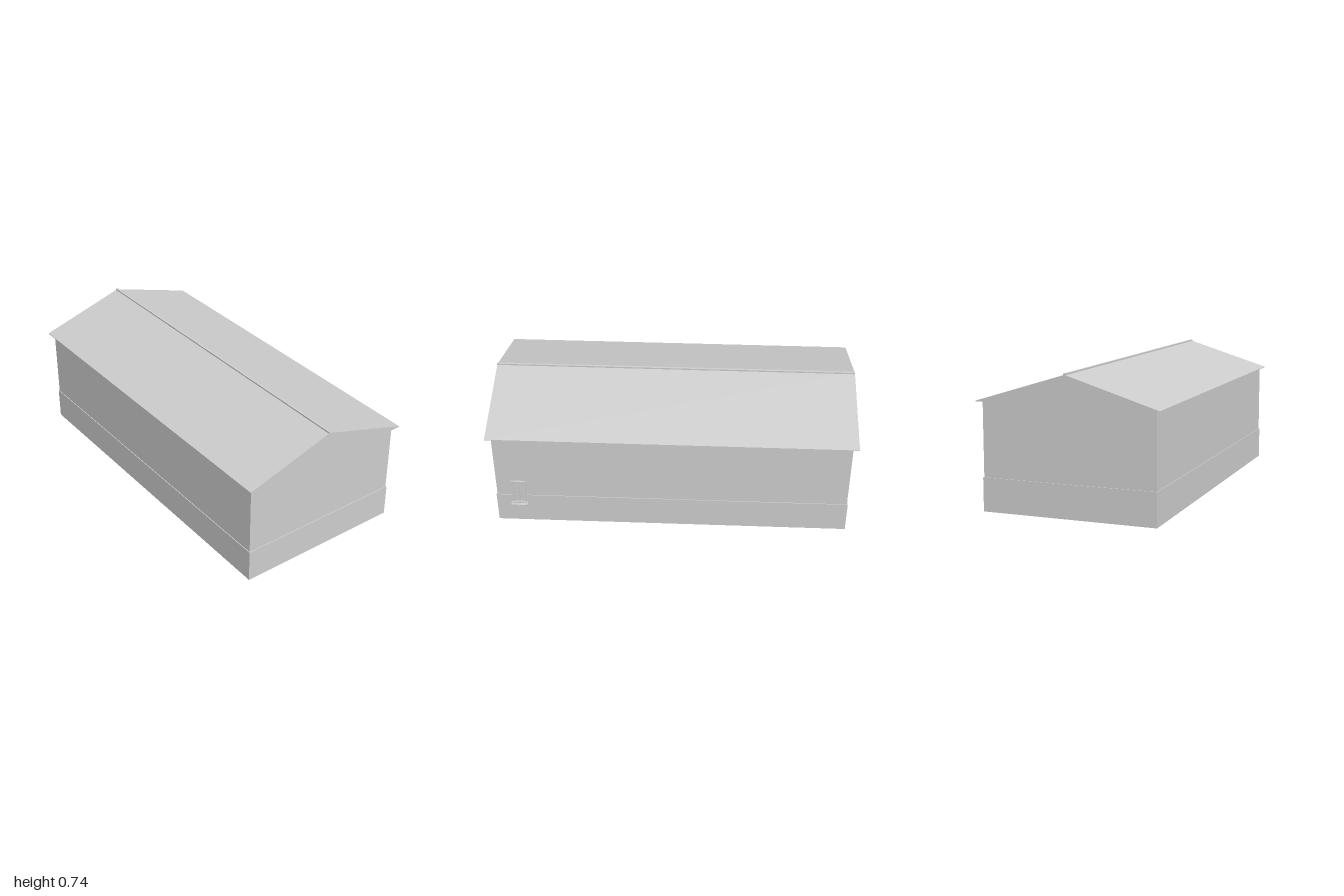
import * as THREE from 'three';

export function createModel() {
  const model = new THREE.Group();
  model.name = 'barn';
  const grey = new THREE.MeshStandardMaterial({ color: 0xcccccc });
  grey.name = 'plain grey';
  const midZ = 0.0035; // the house sits slightly forward to make room for the sill

  // Box given by its lower and upper corners
  function box(name, [x0, y0, z0], [x1, y1, z1], parent = model) {
    const mesh = new THREE.Mesh(new THREE.BoxGeometry(x1 - x0, y1 - y0, z1 - z0), grey);
    mesh.position.set((x0 + x1) / 2, (y0 + y1) / 2, (z0 + z1) / 2);
    mesh.name = name;
    parent.add(mesh);
    return mesh;
  }

  // Plinth and walls
  box('plinth', [-0.975, 0, midZ - 0.4755], [0.975, 0.18, midZ + 0.4755]);
  box('walls', [-0.97, 0.18, midZ - 0.4715], [0.97, 0.579, midZ + 0.4715]);

  // Solid gable roof with thin eave edges and a flat soffit
  const gable = new THREE.Shape([
    [-0.4965, 0.577], [0.4965, 0.577], [0.4965, 0.581], [0, 0.734], [-0.4965, 0.581],
  ].map(([x, y]) => new THREE.Vector2(x, y)));
  const roofGeometry = new THREE.ExtrudeGeometry(gable, { depth: 2, bevelEnabled: false });
  roofGeometry.translate(0, 0, -1).rotateY(Math.PI / 2);
  const roof = new THREE.Mesh(roofGeometry, grey);
  roof.name = 'roof';
  roof.position.z = midZ;
  model.add(roof);

  // Ridge cap
  box('ridgeCap', [-1, 0.728, midZ - 0.007], [1, 0.74, midZ + 0.007]);

  // Small window on the back wall
  const win = new THREE.Group();
  win.name = 'backWindow';
  model.add(win);
  const outer = -0.478, inner = -0.467;
  const left = 0.887, right = 0.808, bottom = 0.13, top = 0.28, bar = 0.011;
  const middle = (left + right) / 2;
  box('windowPane', [right, bottom, -0.4727], [left, top, inner], win);
  for (const x of [right, left - bar]) {
    box('windowJamb', [x, bottom, outer], [x + bar, top, inner], win);
  }
  for (const y of [bottom, top - bar]) {
    box('windowRail', [right, y, outer], [left, y + bar, inner], win);
  }
  box('windowMullion', [middle - 0.005, bottom, outer], [middle + 0.005, top, inner], win);
  box('windowHandle', [middle - 0.003, 0.194, -0.481], [middle + 0.003, 0.204, outer], win);

  // Sill with a low upstand against the frame
  box('windowSill', [0.801, 0.123, -0.5], [0.893, 0.131, inner], win);
  box('sillUpstand', [right, 0.131, -0.485], [left, 0.137, inner], win);

  return model;
}
